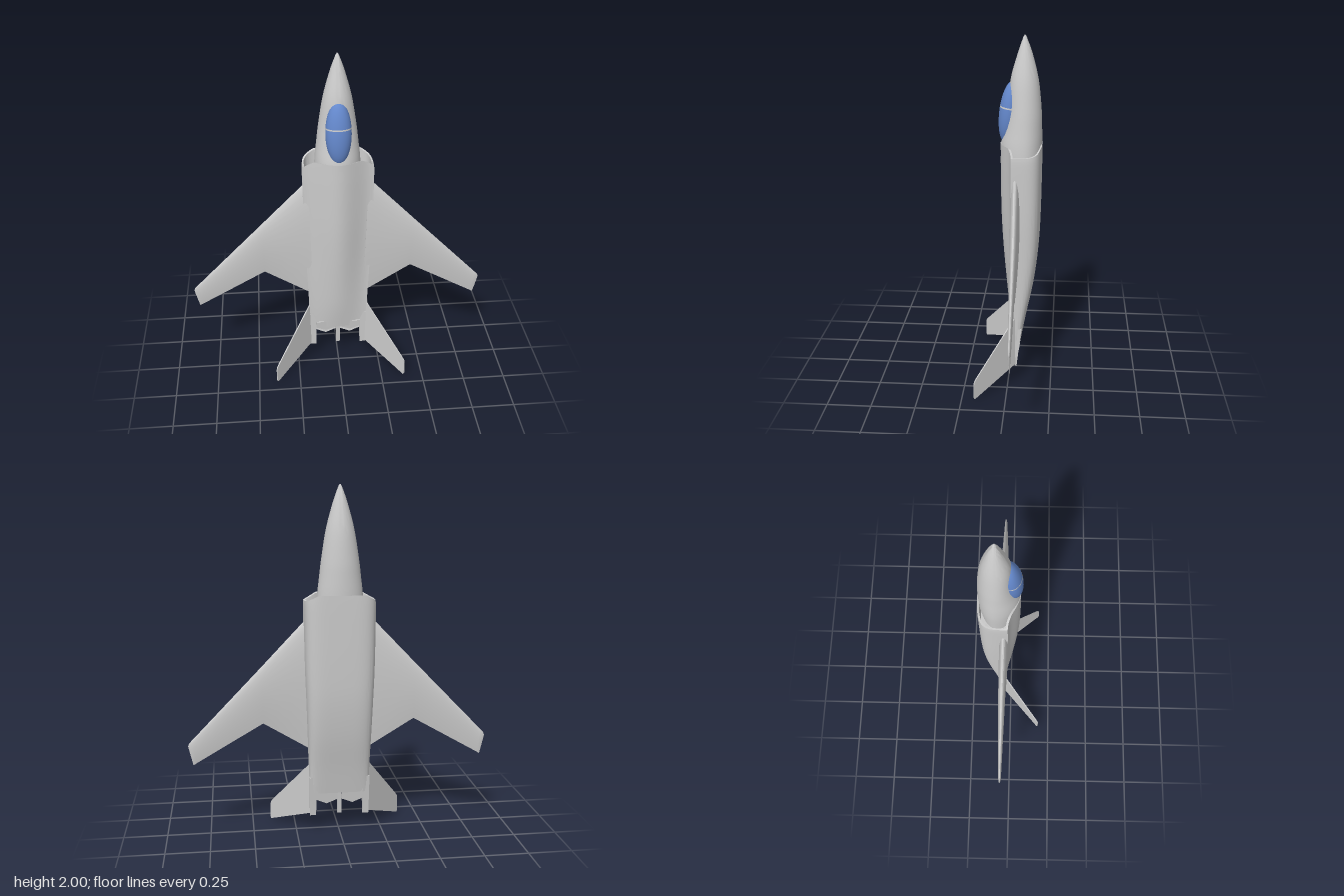
import * as THREE from 'three';
import { toCreasedNormals } from 'three/addons/utils/BufferGeometryUtils.js';

const grey = new THREE.MeshStandardMaterial({ color: 0xcccccc, side: THREE.DoubleSide });
const blue = new THREE.MeshStandardMaterial({ color: 0x6488cc });

// Skins closed rings of points with end caps, facing outward
function loft(rings, crease = 0.7) {
  const n = rings[0].length, pos = [], idx = [];
  for (const ring of rings) for (const p of ring) pos.push(...p);
  for (let r = 0; r < rings.length - 1; r++)
    for (let i = 0; i < n; i++) {
      const a = r * n + i, b = r * n + (i + 1) % n;
      idx.push(a, b, a + n, b, b + n, a + n);
    }
  [0, rings.length - 1].forEach((r, end) => {
    const c = [0, 1, 2].map(k => rings[r].reduce((sum, p) => sum + p[k], 0) / n);
    const ci = pos.length / 3;
    pos.push(...c);
    for (let i = 0; i < n; i++) {
      const a = r * n + i, b = r * n + (i + 1) % n;
      idx.push(...(end ? [a, b, ci] : [b, a, ci]));
    }
  });
  // Signed volume decides the winding
  const v = i => new THREE.Vector3().fromArray(pos, i * 3);
  let volume = 0;
  for (let i = 0; i < idx.length; i += 3)
    volume += v(idx[i]).dot(v(idx[i + 1]).cross(v(idx[i + 2])));
  if (volume < 0) idx.reverse();
  const geo = new THREE.BufferGeometry();
  geo.setAttribute('position', new THREE.Float32BufferAttribute(pos, 3));
  geo.setIndex(idx);
  return toCreasedNormals(geo, crease);
}

// Smoothly resamples rows of section parameters
function resample(rows, steps) {
  const out = [], last = rows.length - 1;
  for (let i = 0; i < last; i++)
    for (let j = 0; j < steps; j++) {
      const t = j / steps;
      const [a, b, c, d] = [i - 1, i, i + 1, i + 2].map(k => rows[Math.min(last, Math.max(0, k))]);
      out.push(b.map((p, k) => {
        const cubic = 3 * (p - c[k]) + d[k] - a[k];
        const square = 2 * a[k] - 5 * p + 4 * c[k] - d[k];
        return p + 0.5 * t * (c[k] - a[k] + t * (square + t * cubic));
      }));
    }
  out.push(rows[last]);
  return out;
}

const signedPow = (v, e) => Math.sign(v) * Math.abs(v) ** e;
const loop = (n, fn) => Array.from({ length: n }, (_, i) => fn(2 * Math.PI * i / n));

// Round nose section: half width, top and bottom
const noseRing = ([y, w, top, bottom]) => loop(48, a => {
  const s = Math.sin(a);
  return [w * Math.cos(a), y, -0.08 + s * (s > 0 ? top + 0.08 : -0.08 - bottom)];
});

// Body section: bell-shaped back, square-shouldered belly, raked intake lip
const bodyRing = ([y, w, top, shoulder, bottom, rake]) => loop(72, a => {
  const c = Math.cos(a), s = Math.sin(a), e = 2 / 4.5;
  const upper = s >= 0;
  const x = w * (upper ? c : signedPow(c, e));
  const z = upper ? shoulder + (top - shoulder) * (0.5 + 0.5 * Math.cos(Math.PI * c))
    : shoulder + (bottom - shoulder) * Math.abs(s) ** e;
  return [x, y - rake * 0.55 * Math.max(0, Math.abs(x) - 0.13), z];
});
const inset = ([y, w, t, s, b, k], d, dy) => [y + dy, w - d, t - d, s - d, b + d, k];

// Wing section from leading edge point to trailing edge point
function wingRing([lx, ly, tx, ty, z, thick]) {
  return loop(32, a => {
    const u = 0.5 - 0.5 * Math.cos(a);
    const h = 2.6 * Math.sqrt(u) * (1 - u) * thick / 2;
    return [lx + (tx - lx) * u, ly + (ty - ly) * u, z + Math.sign(Math.sin(a)) * h];
  });
}

const boxRing = (y, x0, x1, z0, z1) => [[x0, y, z0], [x1, y, z0], [x1, y, z1], [x0, y, z1]];

function plate(points, depth) {
  const shape = new THREE.Shape(points.map(p => new THREE.Vector2(...p)));
  return new THREE.ExtrudeGeometry(shape, { depth, bevelEnabled: false }).translate(0, 0, -depth / 2);
}

export function createModel() {
  const model = new THREE.Group();
  model.name = 'jetAircraft';
  const add = (parent, name, geo, mat = grey) => {
    const mesh = new THREE.Mesh(geo, mat);
    mesh.name = name;
    parent.add(mesh);
    return mesh;
  };

  // Nose and cockpit section, its tail buried in the main body
  add(model, 'nose', loft(resample([
    [2.0, 0.003, -0.077, -0.083], [1.98, 0.013, -0.067, -0.093], [1.9, 0.041, -0.04, -0.122],
    [1.76, 0.078, -0.002, -0.156], [1.6, 0.104, 0.012, -0.173], [1.5, 0.116, 0.03, -0.177],
    [1.4, 0.127, 0.05, -0.178], [1.3, 0.13, 0.046, -0.174], [1.1, 0.12, 0.03, -0.15],
  ], 5).map(noseRing), 0.9));

  // Main body with hollow intakes in front and a hollow nozzle bay behind
  const rows = [
    [1.41, 0.198, 0.052, -0.015, -0.179, 1], [1.36, 0.2, 0.052, -0.015, -0.179, 0.5],
    [1.25, 0.2, 0.052, -0.015, -0.178, 0], [1.0, 0.197, 0.048, -0.018, -0.174, 0],
    [0.8, 0.19, 0.037, -0.022, -0.165, 0], [0.6, 0.183, 0.02, -0.026, -0.14, 0],
    [0.4, 0.176, 0, -0.032, -0.1, 0], [0.24, 0.174, -0.025, -0.04, -0.07, 0],
  ];
  const front = rows[0], rear = rows[rows.length - 1];
  add(model, 'body', loft([
    inset(front, 0.014, -0.2), inset(front, 0.01, -0.005),
    ...resample(rows, 4),
    inset(rear, 0.005, 0), inset(rear, 0.006, 0.05),
  ].map(bodyRing)));

  // Canopy and its frame
  const canopy = new THREE.Group();
  canopy.name = 'canopy';
  canopy.position.set(0, 1.58, 0.001);
  canopy.rotation.x = -0.12;
  model.add(canopy);
  add(canopy, 'canopyGlass', new THREE.SphereGeometry(1, 40, 28).scale(0.071, 0.178, 0.059), blue);
  add(canopy, 'canopyFrame',
    new THREE.SphereGeometry(1.012, 40, 3, 0, Math.PI * 2, 1.37, 0.045).scale(0.071, 0.178, 0.059));

  // Spine tail between the nozzles
  add(model, 'centreSpike', loft([
    boxRing(0.32, -0.013, 0.013, -0.072, -0.025), boxRing(0.11, -0.012, 0.012, -0.053, -0.041)]));

  // Paired parts, mirrored across the centre line
  for (const [side, sign] of [['left', 1], ['right', -1]]) {
    const half = new THREE.Group();
    half.name = side + 'Side';
    half.scale.x = sign;
    model.add(half);

    add(half, side + 'Wing', loft([
      [0.17, 1.275, 0.15, 0.495, -0.038, 0.056], [0.2, 1.25, 0.175, 0.51, -0.039, 0.054],
      [0.435, 1.004, 0.435, 0.67, -0.046, 0.04], [0.835, 0.59, 0.815, 0.452, -0.052, 0.016],
      [0.852, 0.573, 0.828, 0.444, -0.053, 0.013], [0.86, 0.555, 0.834, 0.441, -0.053, 0.006],
    ].map(wingRing), 0.5));

    const fin = add(half, side + 'TailFin', plate([
      [-0.015, 0.43], [0, 0.41], [0.285, 0.128], [0.3, 0.11], [0.305, 0.09],
      [0.306, 0.012], [0.3, 0], [0, 0.11], [-0.015, 0.115]], 0.007));
    fin.position.set(0.175, 0, -0.036);
    fin.rotation.y = -Math.PI / 4;

    add(half, side + 'TailBoom', loft([
      boxRing(0.34, 0.135, 0.174, -0.078, -0.034), boxRing(0.2, 0.135, 0.174, -0.061, -0.037),
      boxRing(0.1, 0.137, 0.173, -0.05, -0.04)]));

    // Pointed nozzle flaps above and below the exhaust
    for (const [name, z, tilt, cut] of [['Lower', -0.066, -0.12, 0], ['Upper', -0.033, 0.12, 0.035]]) {
      const flap = add(half, side + name + 'NozzleFlap', plate([
        [0.013, 0.04], [0.136, 0.04], [0.136, -0.04 + cut], [0.075, -0.066 + cut], [0.013, -0.04 + cut]], 0.005));
      flap.position.set(0, 0.24, z);
      flap.rotation.x = tilt;
    }
  }
  return model;
}
